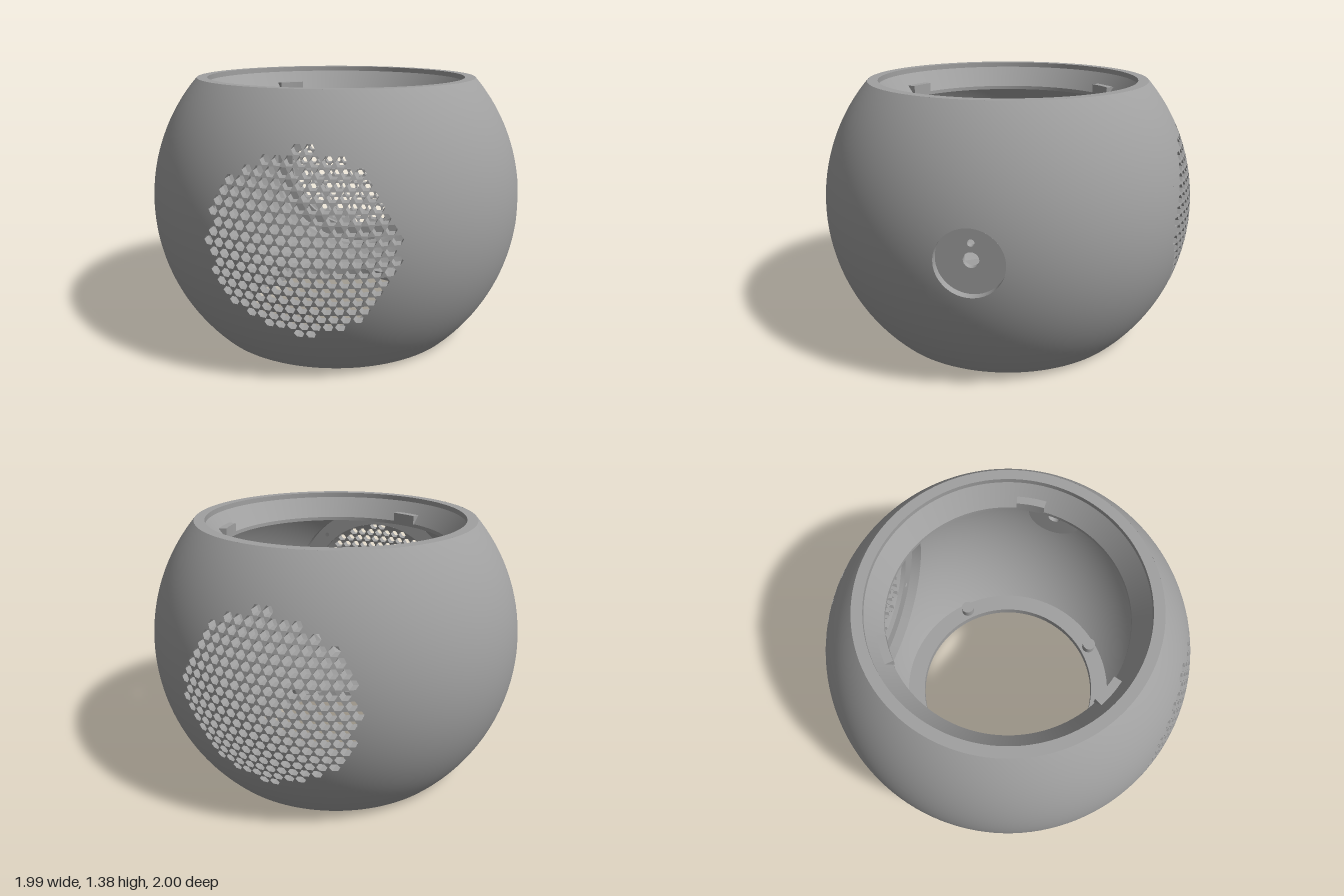
import * as THREE from 'three';
import { toCreasedNormals } from 'three/addons/utils/BufferGeometryUtils.js';

const CY = 0.71;          // height of the sphere centre
const TOP = 1.377;        // height of the upper rim
const R_OUT = 1, R_IN = 0.93, R_MESH = 0.95;
const GRILLE = 0.48, SEAT_OUT = 0.55, SEAT_IN = 0.447, SEAT_Z = 0.81, DIAL = 0.163;

const grey = new THREE.MeshStandardMaterial({ color: 0xa0a0a0, side: THREE.DoubleSide });
grey.name = 'plainGrey';

function add(parent, name, geometry) {
  const mesh = new THREE.Mesh(geometry, grey);
  mesh.name = name;
  parent.add(mesh);
  return mesh;
}

// A quarter of a spherical wall facing +z with a round opening in its middle
function shellPatch(R, hole, yLow, yHigh, inward) {
  const side = 32, rows = 16, q = Math.PI / 4;
  const lo = Math.asin(yLow / R), hi = Math.asin(yHigh / R);
  const corners = [[q, lo], [q, hi], [-q, hi], [-q, lo]];
  const pos = [], nor = [], idx = [], n = side * 4;
  for (let j = 0; j <= n; j++) {
    const s = Math.floor(j / side) % 4, t = (j % side) / side;
    const a = corners[s], b = corners[(s + 1) % 4];
    const lon = a[0] + (b[0] - a[0]) * t, lat = a[1] + (b[1] - a[1]) * t;
    const ang = Math.atan2(lat, lon), h = hole / R;
    const lon0 = Math.atan2(h * Math.cos(ang), Math.sqrt(1 - h * h));
    const lat0 = Math.asin(h * Math.sin(ang));
    for (let i = 0; i <= rows; i++) {
      const u = lon0 + (lon - lon0) * i / rows, v = lat0 + (lat - lat0) * i / rows;
      const d = [Math.cos(v) * Math.sin(u), Math.sin(v), Math.cos(v) * Math.cos(u)];
      pos.push(...d.map(c => c * R));
      nor.push(...d.map(c => (inward ? -c : c)));
      if (j < n && i < rows) {
        const k = j * (rows + 1) + i, m = k + rows + 1;
        if (inward) idx.push(k, m, k + 1, m, m + 1, k + 1);
        else idx.push(k, k + 1, m, m, k + 1, m + 1);
      }
    }
  }
  const g = new THREE.BufferGeometry();
  g.setAttribute('position', new THREE.Float32BufferAttribute(pos, 3));
  g.setAttribute('normal', new THREE.Float32BufferAttribute(nor, 3));
  g.setIndex(idx);
  return g;
}

// Curved honeycomb mesh: every lattice cell is a hexagon, pierced inside the hole radius
function grilleGeometry(mirror) {
  const pitch = 0.055, row = pitch * Math.sqrt(3) / 2, pos = [], nor = [];
  const lift = (p, R) => new THREE.Vector3(p[0], p[1], Math.sqrt(R * R - p[0] * p[0] - p[1] * p[1]));
  const tri = (pts, normals) => pts.forEach((p, i) => {
    pos.push(p.x, p.y, p.z);
    nor.push(normals[i].x, normals[i].y, normals[i].z);
  });
  const skin = (...pts) => {
    const f = pts.map(p => lift(p, R_OUT)), b = pts.map(p => lift(p, R_MESH)).reverse();
    tri(f, f.map(p => p.clone().normalize()));
    tri(b, b.map(p => p.clone().normalize().negate()));
  };
  const corner = (cx, cy, r, deg) => {
    const a = deg * Math.PI / 180;
    const x = cx + r * Math.cos(a), y = cy + r * Math.sin(a);
    const k = Math.min(1, GRILLE / Math.hypot(x, y));
    return [x * k, y * k];
  };
  for (let r = -11; r <= 11; r++) for (let c = -11; c <= 11; c++) {
    const cx = mirror * ((r % 2 ? -0.015 : 0.0125) + c * pitch), cy = r * row;
    const dist = Math.hypot(cx, cy);
    if (dist > 0.52) continue;
    const open = dist < 0.4335;
    for (let k = 0; k < 6; k++) {
      const in0 = corner(cx, cy, 0.025, 60 * k), in1 = corner(cx, cy, 0.025, 60 * k + 60);
      const out0 = corner(cx, cy, pitch / Math.sqrt(3), 60 * k + 30);
      const out1 = corner(cx, cy, pitch / Math.sqrt(3), 60 * k + 90);
      skin(in0, out0, in1);
      skin(in1, out0, out1);
      if (open) {
        const a = (60 * k + 30) * Math.PI / 180;
        const nv = new THREE.Vector3(-Math.cos(a), -Math.sin(a), 0), n3 = [nv, nv, nv];
        const f0 = lift(in0, R_OUT), f1 = lift(in1, R_OUT), b0 = lift(in0, R_MESH), b1 = lift(in1, R_MESH);
        tri([f0, f1, b1], n3);
        tri([f0, b1, b0], n3);
      } else skin(corner(cx, cy, 0, 0), in0, in1);
    }
  }
  const g = new THREE.BufferGeometry();
  g.setAttribute('position', new THREE.Float32BufferAttribute(pos, 3));
  g.setAttribute('normal', new THREE.Float32BufferAttribute(nor, 3));
  return g;
}

// Disc shape with round holes given as [x, y, radius]
function disc(radius, holes) {
  const s = new THREE.Shape().absarc(0, 0, radius, 0, Math.PI * 2);
  for (const [x, y, r] of holes) s.holes.push(new THREE.Path().absarc(x, y, r, 0, Math.PI * 2, true));
  return s;
}

// Four small screw holes on a circle
const screws = (r, size) => [1, 3, 5, 7].map(k =>
  [r * Math.cos(k * Math.PI / 4), r * Math.sin(k * Math.PI / 4), size]);

// Open tube along z between two depths
function sleeve(r, z0, z1) {
  return new THREE.CylinderGeometry(r, r, z1 - z0, 96, 1, true).rotateX(Math.PI / 2).translate(0, 0, (z0 + z1) / 2);
}

export function createModel() {
  const model = new THREE.Group();
  model.name = 'sphericalHousing';
  const body = new THREE.Group();
  body.name = 'body';
  body.position.y = CY;
  model.add(body);

  // Outer and inner walls in four quarters: front, left, back, right
  const outerHoles = [GRILLE - 0.004, DIAL, GRILLE - 0.004, 0];
  const innerHoles = [SEAT_OUT, DIAL, SEAT_OUT, 0];
  for (let q = 0; q < 4; q++) {
    const turn = q * Math.PI / 2;
    add(body, 'outerShell', shellPatch(R_OUT, outerHoles[q], -CY, TOP - CY, false)).rotation.y = turn;
    add(body, 'innerShell', shellPatch(R_IN, innerHoles[q], 0.05 - CY, 0.58, true)).rotation.y = turn;
  }

  // Front and back grilles with their seats inside
  for (const m of [1, -1]) {
    const speaker = new THREE.Group();
    speaker.name = m > 0 ? 'frontGrille' : 'backGrille';
    speaker.rotation.y = m > 0 ? 0 : Math.PI;
    body.add(speaker);
    add(speaker, 'honeycombMesh', grilleGeometry(m));
    const seat = new THREE.ShapeGeometry(disc(SEAT_OUT, [[0, 0, SEAT_IN], ...screws(0.5, 0.013)]), 64);
    add(speaker, 'grilleSeat', seat.translate(0, 0, SEAT_Z));
    add(speaker, 'seatWall', sleeve(SEAT_OUT, 0.749, SEAT_Z));
    add(speaker, 'openingWall', sleeve(SEAT_IN, SEAT_Z, 0.842));
  }

  // Round recess on the left side with a cable hole and a small pin hole
  const recess = new THREE.Group();
  recess.name = 'sideRecess';
  recess.rotation.y = Math.PI / 2;
  body.add(recess);
  add(recess, 'recessWall', sleeve(DIAL, 0.945, 0.9866));
  const floor = new THREE.ExtrudeGeometry(disc(DIAL, [[0, 0, 0.037], [0, 0.08, 0.017]]),
    { depth: 0.03, bevelEnabled: false, curveSegments: 48 });
  add(recess, 'recessFloor', floor.translate(0, 0, 0.915));

  // Upper rim: flat ring, short step, funnel and its underside
  const profile = [[0.727, 1.29], [0.61, 1.22], [0.61, 1.24], [0.69, 1.35], [0.69, TOP], [0.745, TOP]]
    .map(p => new THREE.Vector2(...p));
  add(model, 'upperRim', toCreasedNormals(new THREE.LatheGeometry(profile, 128), 0.4));

  // Three locking tabs on the funnel
  for (let k = 0; k < 3; k++) {
    const a = (7 + 120 * k) * Math.PI / 180, w = 0.12;
    const s = new THREE.Shape();
    s.absarc(0, 0, 0.645, a - w, a + w, false);
    s.absarc(0, 0, 0.603, a + w, a - w, true);
    const g = new THREE.ExtrudeGeometry(s, { depth: 0.05, bevelEnabled: false, curveSegments: 10 });
    add(model, 'lockingTab', g.rotateX(-Math.PI / 2).translate(0, 1.24, 0));
  }

  // Bottom ring with screw holes and the posts above them
  const base = new THREE.ExtrudeGeometry(disc(0.704, [[0, 0, 0.55], ...screws(0.625, 0.012)]),
    { depth: 0.05, bevelEnabled: false, curveSegments: 64 });
  add(model, 'baseRing', toCreasedNormals(base.rotateX(-Math.PI / 2), 0.4));
  for (const [x, z] of screws(0.608, 0)) {
    add(model, 'screwPost', new THREE.CylinderGeometry(0.04, 0.04, 0.06, 32)).position.set(x, 0.075, z);
  }
  return model;
}
